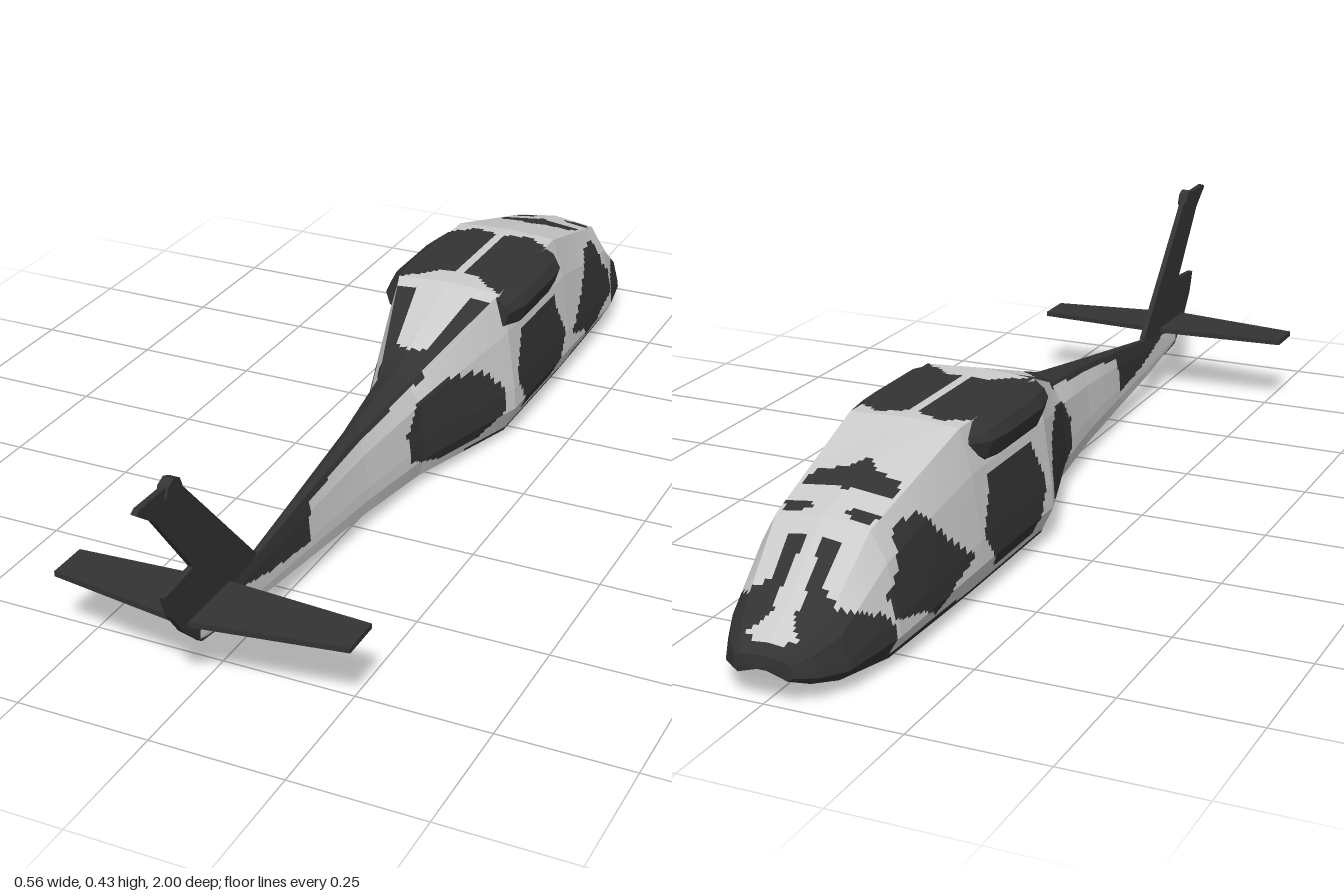
import * as THREE from 'three';

const light = new THREE.MeshStandardMaterial({ color: 0xcccccc, flatShading: true });
const dark = new THREE.MeshStandardMaterial({ color: 0x333333, flatShading: true });

// Fuselage stations: z, bottom y, top y, half width, shoulder x, roof edge x, roof edge height (0..1)
const stations = [
  [-1, 0.062, 0.068, 0.01, 0.009, 0.007, 0.9],
  [-0.998, 0.048, 0.086, 0.055, 0.05, 0.04, 0.92],
  [-0.97, 0.035, 0.108, 0.085, 0.076, 0.056, 0.92],
  [-0.92, 0.022, 0.137, 0.113, 0.1, 0.075, 0.92],
  [-0.795, 0.005, 0.25, 0.14, 0.117, 0.088, 0.95],
  [-0.505, 0.003, 0.328, 0.15, 0.13, 0.107, 0.98],
  [-0.2, 0.004, 0.328, 0.15, 0.13, 0.109, 0.98],
  [0.06, 0.018, 0.243, 0.064, 0.054, 0.032, 0.92],
  [0.25, 0.03, 0.212, 0.038, 0.029, 0.015, 0.94],
  [0.465, 0.043, 0.178, 0.019, 0.015, 0.009, 0.96],
  [0.63, 0.06, 0.152, 0.012, 0.01, 0.006, 0.97],
  [0.83, 0.092, 0.13, 0.006, 0.005, 0.004, 0.97],
];

// Closed cross-section: bottom centre, up the left side, roof centre, mirrored back down
function section([z, yb, yt, w, x4, x5, f5]) {
  const half = [[0, 0], [0.83 * w, 0.05], [w, 0.22], [0.98 * w, 0.36], [x4, 0.73], [x5, f5], [0, 1]];
  const pts = half.map(([x, f]) => new THREE.Vector3(x, yb + f * (yt - yb), z));
  const mirrored = pts.slice(1, 6).reverse().map((p) => new THREE.Vector3(-p.x, p.y, p.z));
  return [...pts, ...mirrored, pts[0]];
}

// Camouflage outlines: side in (z, y), roof and belly in (z, |x|)
const camo = {
  side: [
    [[0.107, 0.08], [0.11, 0.14], [0.06, 0.19], [-0.02, 0.21], [-0.11, 0.19], [-0.17, 0.14], [-0.17, 0.08], [-0.1, 0.045], [0.01, 0.045]],
    [[-0.22, 0.14], [-0.26, 0.215], [-0.445, 0.22], [-0.49, 0.12], [-0.43, 0.045], [-0.27, 0.04]],
    [[-0.525, 0.1], [-0.61, 0.16], [-0.67, 0.23], [-0.75, 0.23], [-0.77, 0.17], [-0.81, 0.135], [-0.8, 0.09], [-0.71, 0.07], [-0.65, 0.04], [-0.6, 0.08]],
    [[-0.81, 0.1], [-0.92, 0.15], [-1.01, 0.1], [-1.01, 0.03], [-0.87, 0.01], [-0.8, 0.005]],
    [[0.44, 0.2], [0.46, 0.085], [0.6, 0.1], [0.75, 0.135], [0.63, 0.17]],
    [[0, 0.27], [0.03, 0.222], [0.6, 0.14], [0.65, 0.16]],
    [[-0.8, 0], [-0.8, 0.03], [-0.1, 0.03], [0, 0.02], [0, 0]],
  ],
  roof: [
    [[-0.47, 0.008], [-0.49, 0.06], [-0.45, 0.12], [-0.19, 0.12], [-0.25, 0.04], [-0.25, 0.008]],
    [[-0.72, -0.01], [-0.71, 0.09], [-0.67, 0.08], [-0.66, 0.03], [-0.62, -0.01]],
    [[-0.78, 0.03], [-0.785, 0.08], [-0.76, 0.09], [-0.755, 0.04]],
    [[-0.89, 0.02], [-0.89, 0.045], [-0.82, 0.05], [-0.82, 0.015]],
    [[-1.01, -0.01], [-0.98, 0.12], [-0.9, 0.1], [-0.88, 0.03], [-0.93, 0.02], [-0.97, 0.05], [-0.985, -0.01]],
    [[-0.17, 0.06], [-0.17, 0.12], [0.05, 0.05], [0.85, 0.02], [0.85, -0.01], [0, -0.01], [-0.02, 0.03]],
  ],
  belly: [
    [[-1, -0.01], [-0.9, 0.1], [-0.3, 0.12], [-0.1, 0.06], [-0.3, 0.03], [-0.7, 0.05]],
    [[-0.6, -0.01], [-0.5, 0.02], [0.1, 0.015], [0.4, -0.01]],
  ],
};

function inside(poly, a, b) {
  let hit = false;
  poly.forEach(([x1, y1], i) => {
    const [x2, y2] = poly[(i + 1) % poly.length];
    if ((y1 > b) !== (y2 > b) && a < x1 + ((b - y1) * (x2 - x1)) / (y2 - y1)) hit = !hit;
  });
  return hit;
}

function isDark(p, v) {
  const edge = Math.min(v, 12 - v);
  const zone = edge < 1 ? 'belly' : edge < 5 ? 'side' : 'roof';
  return camo[zone].some((poly) => inside(poly, p.z, zone === 'side' ? p.y : Math.abs(p.x)));
}

function meshFrom(points, material, name) {
  const geo = new THREE.BufferGeometry().setFromPoints(points);
  geo.computeVertexNormals();
  const mesh = new THREE.Mesh(geo, material);
  mesh.name = name;
  return mesh;
}

function pushQuad(out, a, b, c, d) {
  out.push(a, b, c, b, d, c);
}

// Fuselage skin cut into small cells, sorted into light and dark paint
function fuselage() {
  const group = new THREE.Group();
  group.name = 'fuselage';
  const rings = stations.map(section);
  const paint = { light: [], dark: [] };
  for (let s = 0; s < rings.length - 1; s++) {
    const nz = Math.max(1, Math.round((stations[s + 1][0] - stations[s][0]) / 0.009));
    for (let j = 0; j < 12; j++) {
      const nv = [0, 5, 6, 11].includes(j) ? 12 : 7;
      const at = (i, k) => {
        const lo = rings[s][j].clone().lerp(rings[s][j + 1], k / nv);
        const hi = rings[s + 1][j].clone().lerp(rings[s + 1][j + 1], k / nv);
        return lo.lerp(hi, i / nz);
      };
      for (let i = 0; i < nz; i++) for (let k = 0; k < nv; k++) {
        const tone = isDark(at(i + 0.5, k + 0.5), j + (k + 0.5) / nv) ? 'dark' : 'light';
        pushQuad(paint[tone], at(i, k), at(i, k + 1), at(i + 1, k), at(i + 1, k + 1));
      }
    }
  }
  // Caps at the nose and tail
  const caps = [];
  const tail = rings[rings.length - 1];
  for (let j = 1; j < 11; j++) {
    caps.push(rings[0][0], rings[0][j + 1], rings[0][j], tail[0], tail[j], tail[j + 1]);
  }
  group.add(meshFrom(paint.light, light, 'lightSkin'), meshFrom(paint.dark.concat(caps), dark, 'darkSkin'));
  return group;
}

// Faceted engine bulge beside the roof, tapering toward both ends
function enginePod(side) {
  const outline = [[0.09, 0.318], [0.09, 0.25], [0.125, 0.24], [0.138, 0.25], [0.149, 0.285], [0.138, 0.306], [0.113, 0.325]];
  const rings = [[-0.49, 0.45], [-0.45, 0.9], [-0.4, 1], [-0.25, 1], [-0.19, 0.75]].map(([z, k]) =>
    outline.map(([x, y]) => new THREE.Vector3(side * (0.09 + (x - 0.09) * k), 0.29 + (y - 0.29) * k, z)));
  const out = [];
  const tri = (a, b, c) => (side > 0 ? out.push(a, b, c) : out.push(a, c, b));
  const n = outline.length;
  for (let s = 0; s < rings.length - 1; s++) for (let j = 0; j < n; j++) {
    const k = (j + 1) % n;
    tri(rings[s][j], rings[s][k], rings[s + 1][j]);
    tri(rings[s][k], rings[s + 1][k], rings[s + 1][j]);
  }
  const last = rings[rings.length - 1];
  for (let j = 1; j < n - 1; j++) {
    tri(rings[0][0], rings[0][j + 1], rings[0][j]);
    tri(last[0], last[j], last[j + 1]);
  }
  return meshFrom(out, dark, side > 0 ? 'leftEnginePod' : 'rightEnginePod');
}

function plate(points, depth, name) {
  const shape = new THREE.Shape(points.map(([a, b]) => new THREE.Vector2(a, b)));
  const geo = new THREE.ExtrudeGeometry(shape, { depth, bevelEnabled: false });
  geo.translate(0, 0, -depth / 2);
  const mesh = new THREE.Mesh(geo, dark);
  mesh.name = name;
  return mesh;
}

export function createModel() {
  const model = new THREE.Group();
  model.name = 'helicopter';
  model.add(fuselage(), enginePod(1), enginePod(-1));

  // Swept tail fin, drawn in (z, y)
  const fin = plate([[0.63, 0.152], [0.76, 0.08], [0.826, 0.09], [0.88, 0.14], [0.917, 0.19], [0.933, 0.235],
    [0.84, 0.242], [0.95, 0.385], [1, 0.422], [0.99, 0.428], [0.88, 0.425]], 0.011, 'tailFin');
  fin.geometry.rotateY(-Math.PI / 2);

  // Tail rotor gearbox on the fin tip
  const gearbox = new THREE.Mesh(new THREE.CylinderGeometry(0.025, 0.025, 0.02, 8), dark);
  gearbox.name = 'tailGearbox';
  gearbox.rotation.z = Math.PI / 2;
  gearbox.position.set(0, 0.41, 0.893);

  // Tapered horizontal stabilizer, drawn in (x, z)
  const stabilizer = plate([[-0.28, 0.745], [0, 0.727], [0.28, 0.745], [0.28, 0.825], [0, 0.868], [-0.28, 0.825]],
    0.01, 'stabilizer');
  stabilizer.geometry.rotateX(Math.PI / 2);
  stabilizer.position.y = 0.147;

  model.add(fin, gearbox, stabilizer);
  return model;
}
